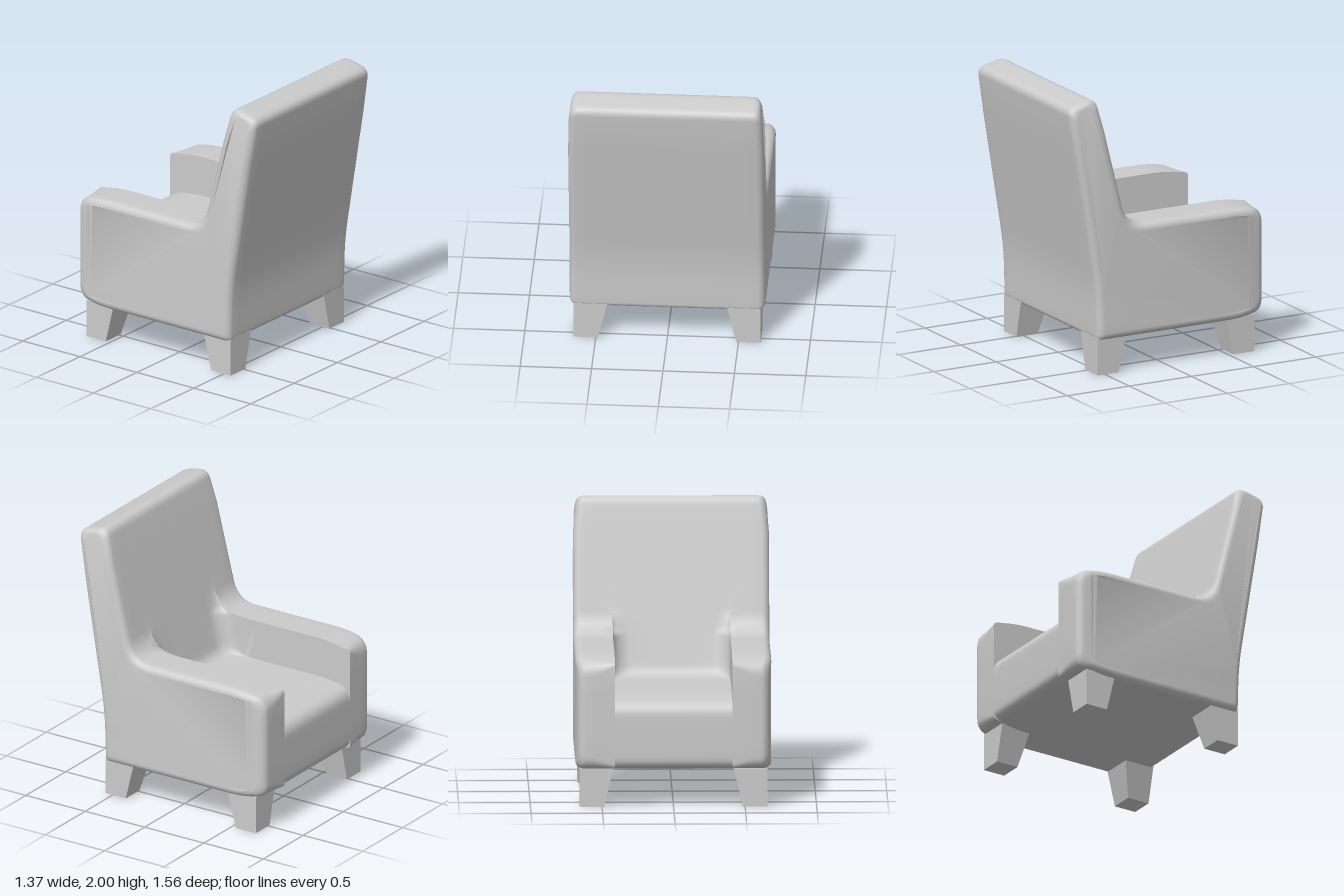
import * as THREE from 'three';
import { toCreasedNormals } from 'three/addons/utils/BufferGeometryUtils.js';

const HALF = 0.685, ARM_IN = 0.41, EDGE = 0.05, FILLET = 0.12;
const ARM_TOP = 1.06, SEAT_TOP = 0.77, BOTTOM = 0.25, FRONT = -0.78;
const backLine = y => 0.36 + 0.25 * (y - 1.2); // slanted front of the backrest
const clamp01 = v => Math.min(1, Math.max(0, v));

// Closed [z, y] outline: corners [z, y, tangent length] rounded, edges subdivided
function roundOutline(corners) {
  const points = [], n = corners.length;
  const toward = (a, b, r) => {
    const d = Math.hypot(b[0] - a[0], b[1] - a[1]);
    return [a[0] + (b[0] - a[0]) * r / d, a[1] + (b[1] - a[1]) * r / d];
  };
  corners.forEach((c, i) => {
    const next = corners[(i + 1) % n];
    const p = toward(c, corners[(i + n - 1) % n], c[2]), q = toward(c, next, c[2]);
    for (let k = 0; k <= 7; k++) {
      const t = k / 7, u = 1 - t;
      points.push([0, 1].map(j => u * u * p[j] + 2 * u * t * c[j] + t * t * q[j]));
    }
    const end = toward(next, c, next[2]);
    for (let k = 1; k < 4; k++) points.push([0, 1].map(j => q[j] + (end[j] - q[j]) * k / 4));
  });
  return points;
}

// Side outline; e insets it, frontR rounds the front, inner holds the four bend corners
function outline(e, top, frontR, inner) {
  return roundOutline([
    [0.56 - e, BOTTOM + e, 0.035],
    [0.57 - e, 0.62, 0.15],
    [0.787 - e, 1.955 - e * 0.6, 0.06],
    [backLine(2.01) + e, 2.01 - e * 0.6, 0.07],
    ...inner,
    [-0.58, top - e, 0.1],
    [FRONT + e, top - e - 0.035, frontR],
    [FRONT + e, BOTTOM + e + 0.035, frontR * 0.8],
    [-0.58, BOTTOM + e, 0.1],
  ]);
}

function armOutline(e, frontR) {
  const y = ARM_TOP - e;
  return outline(e, ARM_TOP, frontR, [
    [backLine(1.22) + e, 1.22, 0.005],
    [backLine(y) + e, y, 0.15],
    [0.1, y, 0.01],
    [0, y, 0.01],
  ]);
}

// d pushes the lower backrest forward to blend it into the arms
function seatOutline(d) {
  return outline(0, SEAT_TOP, 0.09, [
    [backLine(1.22), 1.22, 0.005],
    [backLine(1.1) - d * 0.35, 1.1, 0.018],
    [backLine(1.06) - d, 1.06, 0.018],
    [backLine(SEAT_TOP) - d, SEAT_TOP, 0.08],
  ]);
}

// Upholstered body lofted across x
function bodyGeometry() {
  const half = []; // sections from the outside to the middle
  for (let i = 0; i <= 6; i++) {
    const t = i / 6 * Math.PI / 2;
    half.push([HALF - EDGE * (1 - Math.cos(t)), armOutline(EDGE * (1 - Math.sin(t)), 0.1)]);
  }
  for (const [x, r] of [[0.56, 0.09], [0.48, 0.06], [ARM_IN, 0.025]]) half.push([x, armOutline(0, r)]);
  for (let i = 8; i >= 0; i--) {
    const a = i / 8 * Math.PI / 2;
    half.push([ARM_IN - FILLET * (1 - Math.sin(a)), seatOutline(FILLET * (1 - Math.cos(a)))]);
  }
  half.push([0.15, seatOutline(0)]);
  const sections = [...half.map(([x, o]) => [-x, o]), ...half.slice().reverse()];

  const positions = [], index = [], n = half[0][1].length, last = (sections.length - 1) * n;
  for (const [x, points] of sections) {
    for (const [z, y] of points) {
      // Sides draw in softly at the top and the front
      const pull = 0.035 * clamp01((y - 1.75) / 0.25) ** 2 + 0.03 * clamp01((-z - 0.58) / 0.2) ** 2;
      const outer = clamp01((Math.abs(x) - 0.45) / (HALF - 0.45));
      positions.push(x - Math.sign(x) * pull * outer, y, z);
    }
  }
  for (let s = 0; s < sections.length - 1; s++) {
    for (let k = 0; k < n; k++) {
      const a = s * n + k, d = s * n + (k + 1) % n;
      index.push(a, a + n, d + n, a, d + n, d);
    }
  }
  // Flat side panels
  const contour = half[0][1].map(([z, y]) => new THREE.Vector2(z, y));
  for (const [a, b, c] of THREE.ShapeUtils.triangulateShape(contour, [])) {
    index.push(a, b, c, last + a, last + c, last + b);
  }
  const g = new THREE.BufferGeometry();
  g.setAttribute('position', new THREE.Float32BufferAttribute(positions, 3));
  g.setIndex(index);
  return toCreasedNormals(g, 0.65);
}

// Block leg with upright outer faces and inner faces tapering downwards
function legGeometry(sx, zOuter, sz) {
  const g = new THREE.BoxGeometry(1, 1, 1), p = g.attributes.position;
  for (let i = 0; i < p.count; i++) {
    const top = p.getY(i) > 0, width = top ? 0.235 : 0.17;
    const x = p.getX(i) * sx > 0 ? 0.655 : 0.655 - width;
    const z = p.getZ(i) * sz > 0 ? zOuter : zOuter - sz * width;
    p.setXYZ(i, sx * x, top ? 0.27 : 0, z);
  }
  g.computeVertexNormals();
  return g;
}

export function createModel() {
  const model = new THREE.Group();
  model.name = 'armchair';
  const material = new THREE.MeshStandardMaterial({ color: 0xcccccc });
  const add = (name, geometry) => {
    const mesh = new THREE.Mesh(geometry, material);
    mesh.name = name;
    model.add(mesh);
  };
  add('upholsteredBody', bodyGeometry());
  for (const sx of [-1, 1]) {
    const side = sx > 0 ? 'Left' : 'Right';
    add('seatFrontLeg' + side, legGeometry(sx, -0.705, -1));
    add('backrestLeg' + side, legGeometry(sx, 0.56, 1));
  }
  return model;
}
